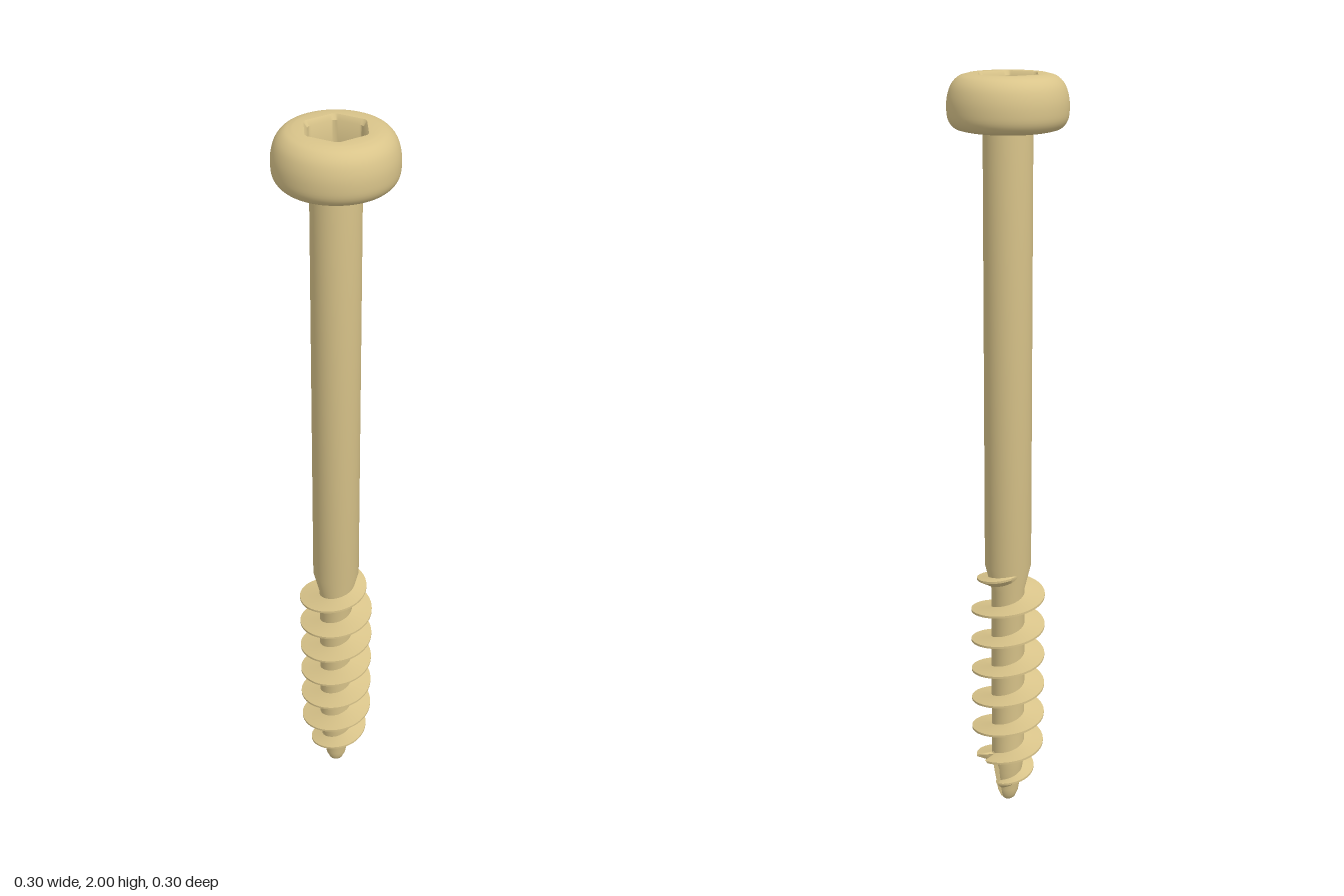
import * as THREE from 'three';
import { toCreasedNormals } from 'three/addons/utils/BufferGeometryUtils.js';

const SEG = 96;
const PITCH = 0.089;
const material = new THREE.MeshStandardMaterial({ color: 0xd9c48a, side: THREE.DoubleSide });

// Linear interpolation through [key, value] pairs
function ramp(pairs, k) {
  if (k <= pairs[0][0]) return pairs[0][1];
  for (let i = 1; i < pairs.length; i++) {
    const [k0, v0] = pairs[i - 1], [k1, v1] = pairs[i];
    if (k <= k1) return THREE.MathUtils.lerp(v0, v1, (k - k0) / (k1 - k0));
  }
  return pairs[pairs.length - 1][1];
}

// Surface from point(angle, row) -> [radius, y]; angle runs anticlockwise seen from above
function sweep(name, a0, a1, steps, rows, point) {
  const pos = [], index = [];
  for (let j = 0; j < rows; j++) {
    for (let i = 0; i <= steps; i++) {
      const a = a0 + (a1 - a0) * i / steps;
      const [r, y] = point(a, j);
      pos.push(r * Math.cos(a), y, -r * Math.sin(a));
      if (i < steps && j < rows - 1) {
        const p = j * (steps + 1) + i, q = p + steps + 1;
        index.push(p, p + 1, q, p + 1, q + 1, q);
      }
    }
  }
  let geo = new THREE.BufferGeometry();
  geo.setAttribute('position', new THREE.Float32BufferAttribute(pos, 3));
  geo.setIndex(index);
  // enlarged while creasing so that fine details are not merged
  geo.scale(1000, 1000, 1000);
  geo = toCreasedNormals(geo, 0.6);
  geo.scale(0.001, 0.001, 0.001);
  const mesh = new THREE.Mesh(geo, material);
  mesh.name = name;
  return mesh;
}

// Radius of the shank, core and point by height
const BODY = [
  [0, 0], [0.003, 0.012], [0.01, 0.02], [0.03, 0.028], [0.06, 0.033], [0.09, 0.038], [0.12, 0.042],
  [0.15, 0.045], [0.65, 0.045], [0.72, 0.062], [1.88, 0.062],
];

// V-shaped cutting flute on the +x side of the point
function flute(r, a, y) {
  const open = Math.cos(a) - 1.8 * Math.abs(Math.sin(a));
  if (y > 0.17 || open <= 0) return r;
  const depth = ramp([[0, 0.008], [0.11, 0.012], [0.15, 0.035], [0.17, 0.1]], y);
  return Math.min(r, depth / open);
}

function makeBody() {
  const heights = [0, 0.003, 0.01, 0.02, 0.03];
  for (let y = 0.04; y < 0.18; y += 0.01) heights.push(y);
  heights.push(0.65, 0.72, 1.88);
  return sweep('shank', 0, Math.PI * 2, SEG, heights.length, (a, j) => {
    const y = heights[j];
    return [flute(ramp(BODY, y), a, y), y];
  });
}

// Right-hand thread, flat above and sloped below, fading at both ends
function makeThread() {
  const crest = [
    [0.05, 0.028], [0.06, 0.045], [0.082, 0.06], [0.105, 0.078],
    [0.15, 0.09], [0.195, 0.1], [0.64, 0.1], [0.683, 0.08], [0.71, 0.052],
  ];
  const a0 = -10.2 * Math.PI, a1 = 4.5 * Math.PI;
  const offsets = [-0.024, -0.003, 0.003, 0.009];
  const steps = Math.round((a1 - a0) / (Math.PI * 2) * SEG);
  return sweep('thread', a0, a1, steps, 4, (a, j) => {
    const mid = 0.505 + PITCH * a / (Math.PI * 2);
    const y = mid + offsets[j];
    const root = ramp(BODY, y) - 0.004;
    const r = j === 1 || j === 2 ? Math.max(ramp(crest, mid), root) : root;
    return [flute(r, a, y) - 0.0005, y];
  });
}

// Hexagon radius with blunted corners pointing along x
function hexRadius(a, apothem) {
  const side = Math.PI / 3;
  const local = ((a % side) + side) % side - side / 2;
  return Math.min(apothem / Math.cos(local), apothem * 1.115);
}

// Rounded pan head, continuing over the top into the hex socket
function makeHead() {
  const curve = new THREE.CatmullRomCurve3([
    [0.108, 1.865], [0.132, 1.872], [0.146, 1.89], [0.15, 1.92], [0.147, 1.95],
    [0.137, 1.976], [0.12, 1.993], [0.098, 2],
  ].map(([r, y]) => new THREE.Vector3(r, y, 0)));
  const outer = [[0.05, 1.865], ...curve.getPoints(28).map(p => [p.x, p.y])];
  const socket = [[0.072, 2], [0.064, 1.988], [0.064, 1.925], [0, 1.9]];
  return sweep('head', 0, Math.PI * 2, SEG, outer.length + socket.length, (a, j) => {
    if (j < outer.length) return outer[j];
    const [apothem, y] = socket[j - outer.length];
    return [hexRadius(a, apothem), y];
  });
}

export function createModel() {
  const group = new THREE.Group();
  group.name = 'screw';
  group.add(makeBody(), makeThread(), makeHead());
  return group;
}
